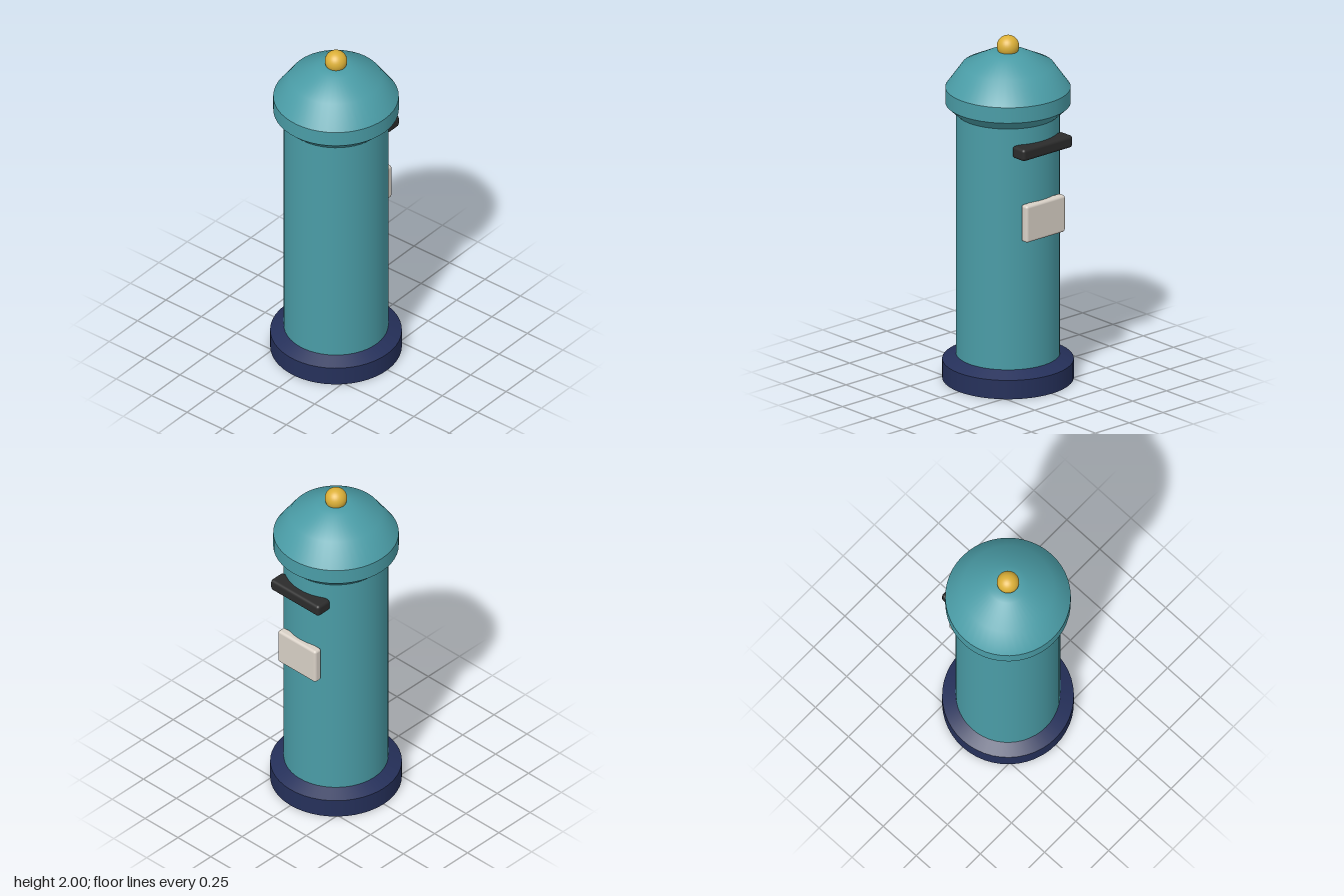
import * as THREE from 'three';
import { RoundedBoxGeometry } from 'three/addons/geometries/RoundedBoxGeometry.js';

const SEGMENTS = 48;

function material(name, color) {
  const m = new THREE.MeshStandardMaterial({ color });
  m.name = name;
  return m;
}

export function createModel() {
  const model = new THREE.Group();
  model.name = 'pillarBox';

  const teal = material('teal', 0x4a9ca6);
  const navy = material('navy', 0x25305a);
  const gold = material('gold', 0xdcb038);
  const black = material('black', 0x2b2b2b);
  const cream = material('cream', 0xd8d0c6);

  function add(parent, name, geometry, mat, x = 0, y = 0, z = 0) {
    const mesh = new THREE.Mesh(geometry, mat);
    mesh.name = name;
    mesh.position.set(x, y, z);
    parent.add(mesh);
    return mesh;
  }

  // Turned part: each profile is smooth in itself, with a sharp edge between profiles
  function turned(name, mat, profiles) {
    const group = new THREE.Group();
    group.name = name;
    for (const [part, points] of Object.entries(profiles)) {
      const profile = points.map(([r, y]) => new THREE.Vector2(r, y));
      add(group, part, new THREE.LatheGeometry(profile, SEGMENTS), mat);
    }
    model.add(group);
  }

  // Plinth with a bevelled top edge
  turned('base', navy, {
    baseUnderside: [[0, 0], [0.363, 0]],
    baseSide: [[0.363, 0], [0.363, 0.11]],
    baseBevel: [[0.363, 0.11], [0.288, 0.145]],
  });

  // Straight column
  turned('body', teal, {
    bodySide: [[0.288, 0.14], [0.288, 1.56]],
  });

  // Overhanging cap with a domed top
  turned('cap', teal, {
    capFlare: [[0.288, 1.555], [0.346, 1.61]],
    capRim: [[0.346, 1.61], [0.346, 1.7]],
    capDome: [[0.346, 1.7], [0.255, 1.828], [0.11, 1.9], [0.06, 1.91], [0, 1.912]],
  });

  // Ball on top
  add(model, 'finial', new THREE.SphereGeometry(0.062, 32, 20), gold, 0, 1.938, 0);

  // Letter slot and notice plate on the +x side
  add(model, 'letterSlot', new RoundedBoxGeometry(0.1, 0.07, 0.368, 4, 0.018), black, 0.285, 1.425, 0);
  add(model, 'noticePlate', new RoundedBoxGeometry(0.052, 0.215, 0.288, 4, 0.015), cream, 0.291, 1.008, 0);

  return model;
}
